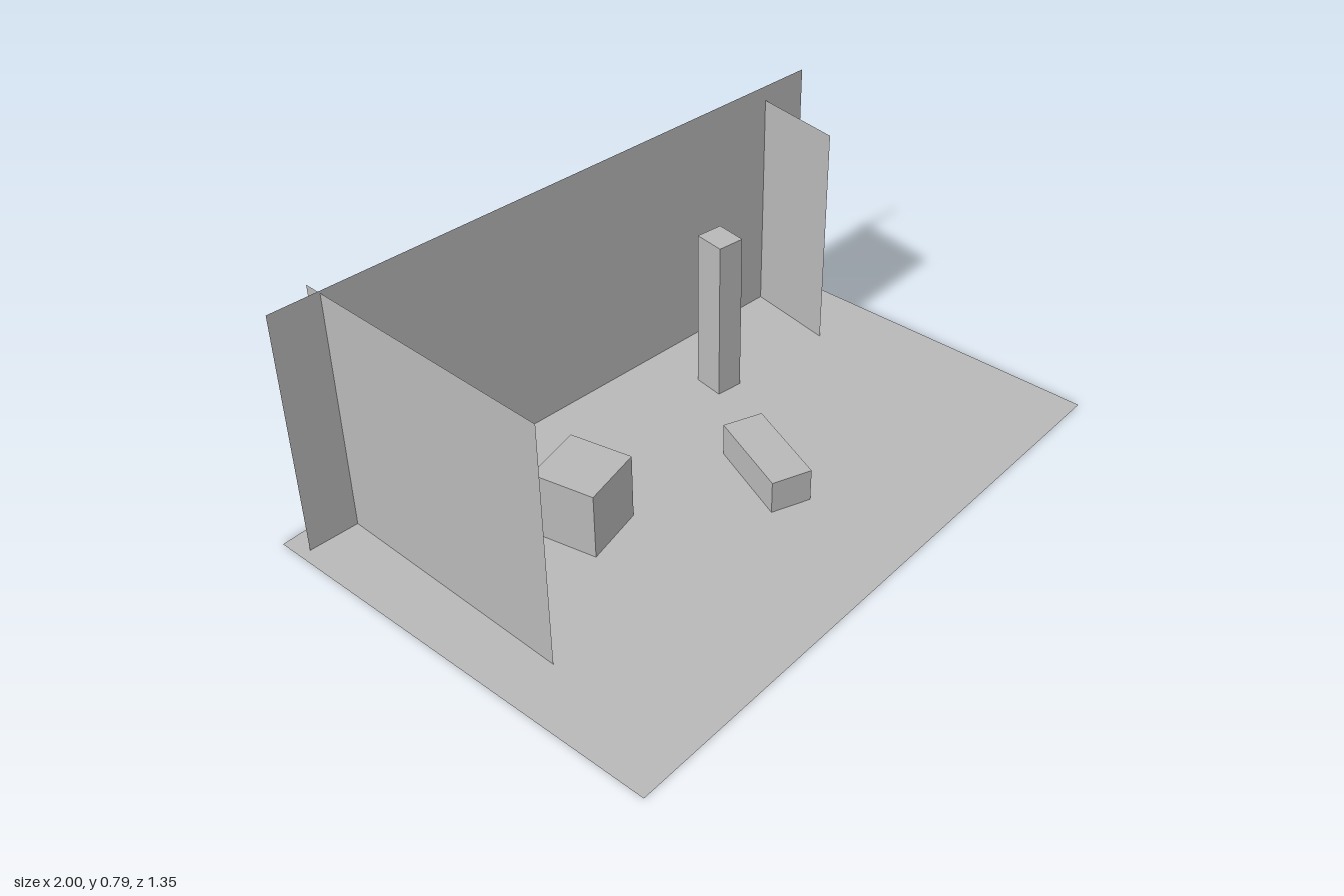
import * as THREE from 'three';

export function createModel() {
  const model = new THREE.Group();
  const grey = new THREE.MeshStandardMaterial({ color: 0xb8b8b8, side: THREE.DoubleSide });
  grey.name = 'plain grey';

  const add = (name, geometry) => {
    const mesh = new THREE.Mesh(geometry, grey);
    mesh.name = name;
    model.add(mesh);
    return mesh;
  };

  // Thin upright sheet standing on the floor between two points (x, z)
  const wall = (name, x1, z1, x2, z2, height) => {
    const mesh = add(name, new THREE.PlaneGeometry(Math.hypot(x2 - x1, z2 - z1), height));
    mesh.position.set((x1 + x2) / 2, height / 2, (z1 + z2) / 2);
    mesh.rotation.y = -Math.atan2(z2 - z1, x2 - x1);
  };

  // Block standing on the floor, turned about its upright axis
  const block = (name, width, height, depth, x, z, turn) => {
    const mesh = add(name, new THREE.BoxGeometry(width, height, depth));
    mesh.position.set(x, height / 2, z);
    mesh.rotation.y = turn;
  };

  // Floor sheet
  add('floor', new THREE.PlaneGeometry(2, 1.354).rotateX(-Math.PI / 2));

  // Slightly skewed walls, the side walls passing through the back one
  wall('backWall', -0.967, -0.6, 0.998, -0.437, 0.786);
  wall('rightWall', -0.834, 0.214, -0.807, -0.645, 0.779);
  wall('leftWall', 0.775, -0.156, 0.834, -0.464, 0.737);

  // Loose objects on the floor
  block('cube', 0.2, 0.215, 0.2, -0.394, -0.098, 0.2);
  block('lowBox', 0.127, 0.107, 0.298, 0.104, 0.157, -0.395);
  block('pillar', 0.087, 0.532, 0.1, 0.369, -0.246, -0.157);

  return model;
}
